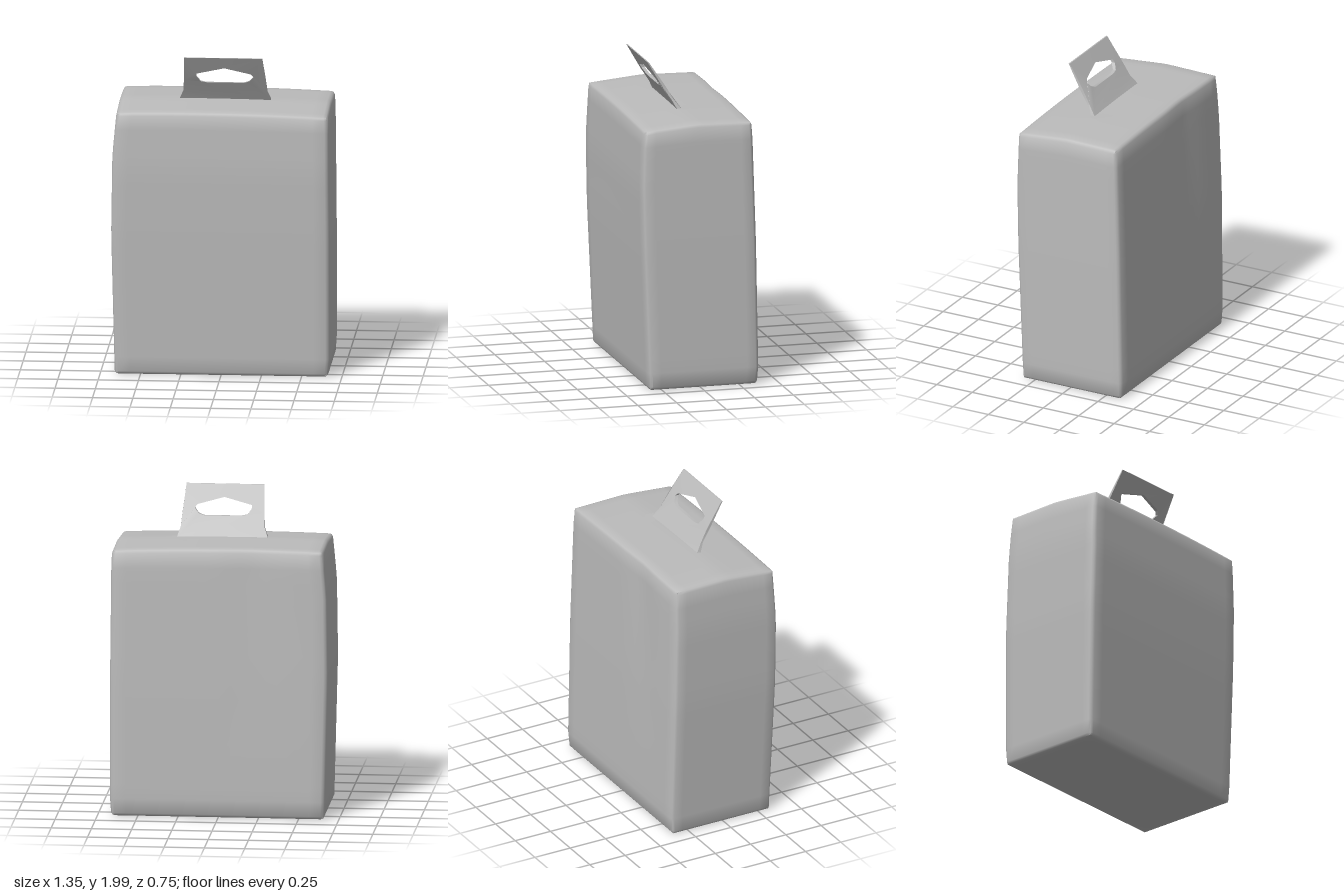
import * as THREE from 'three';
import { mergeVertices, toCreasedNormals } from 'three/addons/utils/BufferGeometryUtils.js';

// Linear interpolation through [position, value] knots
function lerpKnots(t, knots) {
  for (let i = 1; i < knots.length; i++) {
    const [a, va] = knots[i - 1], [b, vb] = knots[i];
    if (t <= b) return va + (vb - va) * Math.max(0, (t - a) / (b - a));
  }
  return knots[knots.length - 1][1];
}

// Outline of the carton by height
const RIGHT = [[0, 0.66], [0.04, 0.672], [0.9, 0.673], [1.64, 0.667], [1.7, 0.655]];
const LEFT = [[0, -0.66], [0.9, -0.68], [1.4, -0.672], [1.7, -0.645]];
const FRONT = [[0, 0.33], [0.9, 0.365], [1.3, 0.374], [1.7, 0.362]];
const BACK = [[0, -0.36], [0.05, -0.373], [0.9, -0.357], [1.6, -0.335], [1.7, -0.325]];

// Soft carton: a subdivided box with rounded edges, bowed walls and a peaked top
function bodyGeometry() {
  let g = new THREE.BoxGeometry(2, 2, 2, 20, 20, 14);
  g.deleteAttribute('uv');
  g.deleteAttribute('normal');
  g = mergeVertices(g);
  const p = g.attributes.position;
  // Push the outermost grid lines close to the edges
  const crowd = (t, n, edge) => Math.abs(t) > 0.999 ? Math.sign(t) : t / (1 - 2 / n) * edge;
  for (let i = 0; i < p.count; i++) {
    let u = crowd(p.getX(i), 20, 0.965);
    let v = crowd(p.getY(i), 20, 0.975);
    let w = crowd(p.getZ(i), 14, 0.94);
    const ends = [u, v, w].map((t) => Math.abs(t) === 1);
    if (ends.filter(Boolean).length > 1) {
      if (ends[0]) u *= 0.988;
      if (ends[1]) v *= 0.993;
      if (ends[2]) w *= 0.978;
    }
    const h = (v + 1) / 2;
    const y0 = h * 1.675;
    const x = THREE.MathUtils.lerp(lerpKnots(y0, LEFT), lerpKnots(y0, RIGHT), (u + 1) / 2);
    let z = THREE.MathUtils.lerp(lerpKnots(y0, BACK), lerpKnots(y0, FRONT), (w + 1) / 2);
    // Crumpled fold in the upper back wall
    if (w < -0.9) {
      const fold = Math.max(0, 1 - Math.abs(u + 0.3 + (1 - h) * 0.25) / 0.3);
      z += 0.02 * fold * Math.max(0, h - 0.3) * (h < 0.97 ? 1 : 0.6);
    }
    // Top rises to the handle fold and stays high towards the back
    const peak = lerpKnots(z, [[-0.34, 0.016], [0.03, 0.024], [0.36, -0.006]]);
    let y = 0.008 + y0 + h ** 8 * (peak - 0.012 * u * u - 0.006 * u);
    // Bottom is folded slightly inwards
    if (v === -1) y += 0.03 * Math.max(0, 1 - Math.max(Math.abs(u), Math.abs(w)) * 1.05);
    p.setXYZ(i, x, Math.max(0, y), z);
  }
  return toCreasedNormals(g, 0.75);
}

// Carrying handle: a thin tapered tab with a grip hole, leaning forwards
function handleGeometry() {
  const outline = [[-0.28, 1.69], [0.295, 1.69], [0.272, 1.76], [0.265, 1.84], [0.25, 2],
    [-0.235, 2], [-0.243, 1.84], [-0.25, 1.76]];
  const hole = [[-0.165, 1.865], [-0.14, 1.83], [-0.1, 1.822], [0.13, 1.822], [0.165, 1.835],
    [0.19, 1.865], [0.175, 1.885], [0.01, 1.927], [-0.165, 1.885]];
  const shape = new THREE.Shape(outline.map(([x, y]) => new THREE.Vector2(x, y)));
  shape.holes.push(new THREE.Path(hole.map(([x, y]) => new THREE.Vector2(x, y))));
  const g = new THREE.ExtrudeGeometry(shape, { depth: 1, bevelEnabled: false });
  const p = g.attributes.position;
  for (let i = 0; i < p.count; i++) {
    const y = p.getY(i);
    const lean = lerpKnots(y, [[1.69, 0.03], [1.76, 0.075], [1.84, 0.125], [2, 0.225]]);
    const thick = lerpKnots(y, [[1.69, 0.03], [1.76, 0.014], [1.87, 0.024], [2, 0.008]]);
    p.setZ(i, lean + (p.getZ(i) - 0.5) * thick);
  }
  g.deleteAttribute('uv');
  g.deleteAttribute('normal');
  return toCreasedNormals(g, 0.6);
}

// Flattened fold that joins the handle to the top
function foldGeometry() {
  const rows = [[0.05, 1.703, -0.28, 0.32], [0.0, 1.703, -0.29, 0.33], [-0.2, 1.699, -0.14, 0.1]];
  const pos = rows.flatMap(([z, y, a, b]) => [a, y, z, b, y, z]);
  const g = new THREE.BufferGeometry();
  g.setAttribute('position', new THREE.Float32BufferAttribute(pos, 3));
  g.setIndex([0, 1, 2, 1, 3, 2, 2, 3, 4, 3, 5, 4]);
  g.computeVertexNormals();
  return g;
}

export function createModel() {
  const group = new THREE.Group();
  group.name = 'carton';
  const grey = new THREE.MeshStandardMaterial({ color: 0xbbbbbb, side: THREE.DoubleSide });
  grey.name = 'light grey';
  const add = (name, geometry) => {
    const mesh = new THREE.Mesh(geometry, grey);
    mesh.name = name;
    group.add(mesh);
  };
  add('body', bodyGeometry());
  add('handle', handleGeometry());
  add('topFold', foldGeometry());
  return group;
}
